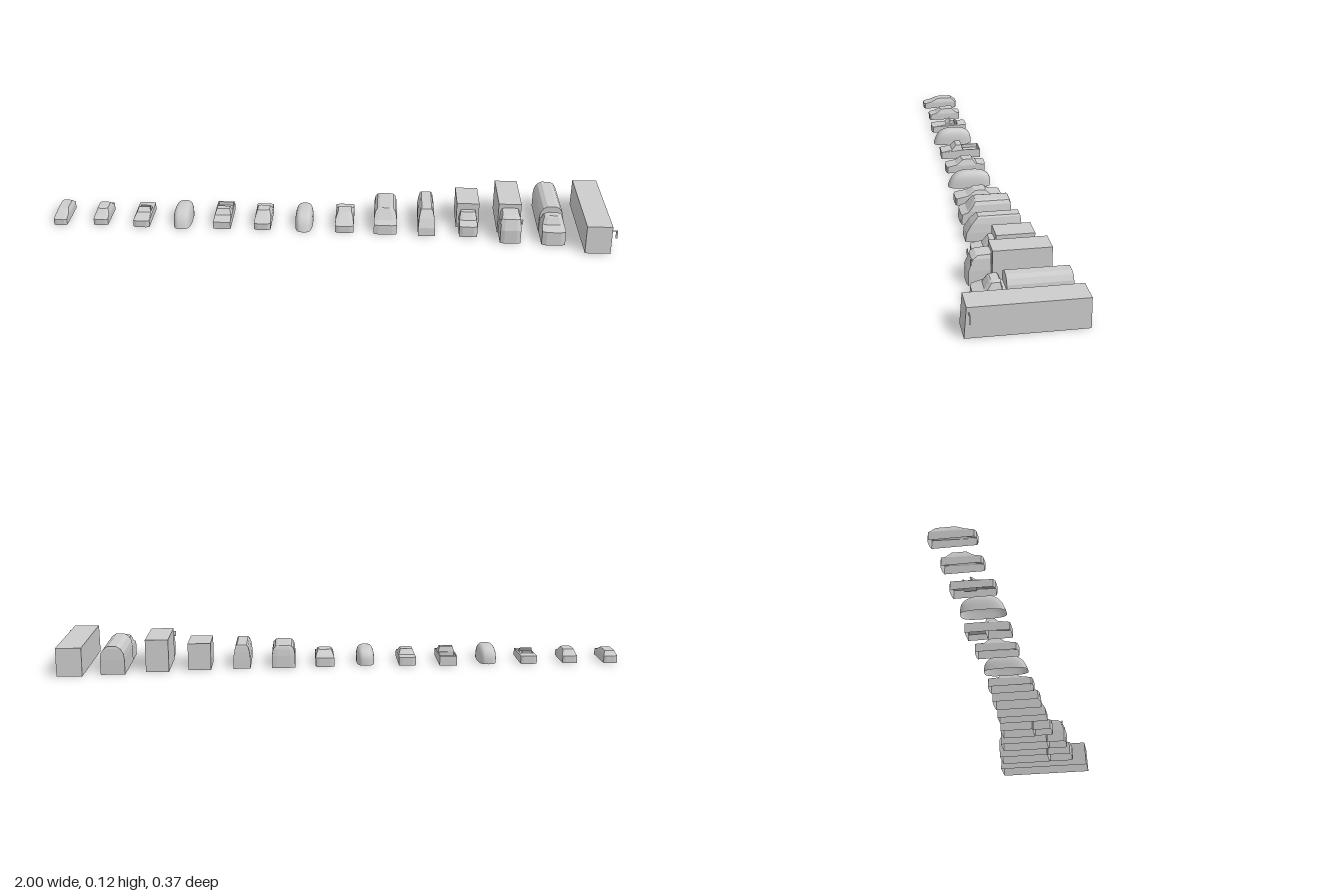
import * as THREE from 'three';

const material = new THREE.MeshStandardMaterial({ color: 0xcccccc, flatShading: true, side: THREE.DoubleSide });
const smooth = new THREE.MeshStandardMaterial({ color: 0xcccccc, side: THREE.DoubleSide });

// Open-bottomed shell lofted upward through rings [backZ, backY, frontZ, frontY, halfWidth]; the last ring is capped.
function shell(name, rings, bow = 0) {
  const positions = [], index = [];
  for (const [zb, yb, zf, yf, w] of rings) {
    const outline = [[w, zb + bow * 0.6], [w * 0.6, zb], [-w * 0.6, zb], [-w, zb + bow * 0.6],
      [-w, zf - bow], [-w * 0.6, zf], [w * 0.6, zf], [w, zf - bow]];
    for (const [x, z] of outline) positions.push(x, yb + (yf - yb) * (z - zb) / (zf - zb), z);
  }
  for (let r = 0; r < rings.length - 1; r++) {
    for (let i = 0; i < 8; i++) {
      const a = r * 8 + i, b = r * 8 + (i + 1) % 8;
      index.push(a, b, b + 8, a, b + 8, a + 8);
    }
  }
  const top = (rings.length - 1) * 8;
  for (let i = 1; i < 7; i++) index.push(top, top + i, top + i + 1);
  const geometry = new THREE.BufferGeometry();
  geometry.setAttribute('position', new THREE.Float32BufferAttribute(positions, 3));
  geometry.setIndex(index);
  const flat = geometry.toNonIndexed();
  flat.computeVertexNormals();
  const mesh = new THREE.Mesh(flat, material);
  mesh.name = name;
  return mesh;
}

function box(name, w, h, d, x, y, z) {
  const mesh = new THREE.Mesh(new THREE.BoxGeometry(w, h, d), material);
  mesh.name = name;
  mesh.position.set(x, y, z);
  return mesh;
}

// Hollow car: lower body, hood and deck stepping in to a tapered cabin
function car(w, zb, zf, belt, cabinBack, cabinFront, roofBack, roofFront, h) {
  return shell('carBody', [
    [zb, 0, zf, 0, w],
    [zb, belt, zf, belt * 0.82, w],
    [cabinBack, belt + 0.002, cabinFront, belt + 0.002, w * 0.95],
    [roofBack, h, roofFront, h, w * 0.72],
  ], 0.005);
}

// Smooth rounded van: half sphere squared off and raked back at the nose
function roundVan(w, zb, zf, h) {
  const geometry = new THREE.SphereGeometry(1, 32, 12, 0, Math.PI * 2, 0, Math.PI / 2);
  const p = geometry.attributes.position;
  const square = (v, e) => Math.sign(v) * Math.abs(v) ** e;
  for (let i = 0; i < p.count; i++) {
    const y = square(Math.max(p.getY(i), 0), 0.6);
    const z = square(p.getZ(i), 0.7);
    const rake = z > 0 ? 0.25 * z * y : 0;
    p.setXYZ(i, square(p.getX(i), 0.6) * w, y * h, (zb + zf) / 2 + (z - rake) * (zf - zb) / 2);
  }
  geometry.computeVertexNormals();
  const mesh = new THREE.Mesh(geometry, smooth);
  mesh.name = 'roundedVanBody';
  return mesh;
}

export function createModel() {
  const model = new THREE.Group();
  model.name = 'vehicleRow';
  const place = (name, x, ...parts) => {
    const group = new THREE.Group();
    group.name = name;
    group.position.x = x;
    group.add(...parts);
    model.add(group);
  };

  place('hatchback', -0.976, car(0.024, -0.07, 0.07, 0.027, -0.066, 0.042, -0.05, 0.015, 0.042));
  place('compactCar', -0.83, car(0.026, -0.065, 0.063, 0.027, -0.052, 0.037, -0.035, 0.018, 0.045));

  // Open car with a sunken cockpit
  place('convertible', -0.68,
    shell('openBody', [
      [-0.07, 0, 0.072, 0, 0.029],
      [-0.07, 0.029, 0.072, 0.025, 0.029],
      [-0.035, 0.031, 0.012, 0.031, 0.024],
      [-0.033, 0.018, 0.01, 0.018, 0.022],
    ], 0.005),
    shell('windscreen', [[0.004, 0.03, 0.014, 0.03, 0.025], [-0.008, 0.045, -0.003, 0.045, 0.02]]),
    box('seats', 0.036, 0.02, 0.006, 0, 0.028, -0.028));

  place('roundedVan', -0.535, roundVan(0.033, -0.07, 0.08, 0.06));

  // Cab in front, open load bed behind
  place('pickup', -0.388,
    shell('cab', [
      [-0.012, 0, 0.071, 0, 0.031],
      [-0.012, 0.033, 0.071, 0.027, 0.031],
      [-0.012, 0.035, 0.03, 0.035, 0.029],
      [-0.008, 0.053, 0.014, 0.053, 0.023],
    ]),
    shell('loadBed', [
      [-0.08, 0, -0.012, 0, 0.031],
      [-0.08, 0.034, -0.012, 0.034, 0.031],
      [-0.076, 0.034, -0.015, 0.034, 0.027],
      [-0.076, 0.02, -0.015, 0.02, 0.027],
    ]));

  place('sedan', -0.242, car(0.03, -0.077, 0.072, 0.03, -0.045, 0.035, -0.028, 0.012, 0.05));
  place('minivan', -0.094, roundVan(0.032, -0.075, 0.083, 0.058));
  place('largeSedan', 0.053, car(0.033, -0.085, 0.08, 0.032, -0.052, 0.038, -0.03, 0.012, 0.051));

  // Delivery van with an arched roof and a short hood
  place('deliveryVan', 0.2, shell('vanBody', [
    [-0.093, 0, 0.085, 0, 0.041],
    [-0.093, 0.04, 0.083, 0.035, 0.041],
    [-0.093, 0.044, 0.06, 0.044, 0.041],
    [-0.091, 0.066, 0.044, 0.066, 0.037],
    [-0.088, 0.077, 0.036, 0.077, 0.029],
    [-0.086, 0.08, 0.032, 0.08, 0.02],
  ], 0.004));

  // Tall narrow van with a long sloping nose
  place('tallVan', 0.347, shell('vanBody', [
    [-0.1, 0, 0.089, 0, 0.03],
    [-0.1, 0.035, 0.086, 0.03, 0.03],
    [-0.099, 0.06, 0.068, 0.06, 0.027],
    [-0.097, 0.08, 0.05, 0.08, 0.022],
    [-0.095, 0.085, 0.045, 0.085, 0.017],
  ]));

  // Small box truck
  place('smallBoxTruck', 0.495,
    shell('cargoBox', [[-0.112, 0, 0.015, 0, 0.04], [-0.112, 0.095, 0.015, 0.095, 0.04]]),
    shell('cab', [
      [0.015, 0, 0.09, 0, 0.032],
      [0.015, 0.045, 0.09, 0.04, 0.032],
      [0.015, 0.047, 0.052, 0.047, 0.031],
      [0.015, 0.071, 0.033, 0.071, 0.026],
    ], 0.004));

  // Large box truck with a flat-fronted cab and side mirrors
  place('largeBoxTruck', 0.64,
    shell('cargoBox', [[-0.136, 0, 0.052, 0, 0.04], [-0.136, 0.115, 0.052, 0.115, 0.04]]),
    shell('cab', [
      [0.052, 0, 0.13, 0, 0.036],
      [0.052, 0.05, 0.13, 0.05, 0.036],
      [0.052, 0.088, 0.116, 0.088, 0.033],
      [0.052, 0.1, 0.1, 0.098, 0.028],
    ], 0.005),
    ...[-1, 1].map(s => box('sideMirror', 0.006, 0.018, 0.004, s * 0.037, 0.08, 0.118)));

  // Tanker with a hooded cab
  place('tanker', 0.79,
    shell('tank', [
      [-0.165, 0, 0.035, 0, 0.042],
      [-0.168, 0.055, 0.035, 0.055, 0.042],
      [-0.168, 0.076, 0.035, 0.076, 0.039],
      [-0.168, 0.092, 0.035, 0.092, 0.029],
      [-0.166, 0.1, 0.035, 0.1, 0.015],
    ], 0),
    shell('cab', [
      [0.035, 0, 0.137, 0, 0.041],
      [0.035, 0.058, 0.135, 0.05, 0.041],
      [0.045, 0.062, 0.1, 0.062, 0.038],
      [0.05, 0.084, 0.085, 0.084, 0.031],
      [0.054, 0.088, 0.08, 0.088, 0.024],
    ], 0.006));

  // Coach: plain tall box with a slightly raked front and one mirror
  place('coach', 0.936,
    shell('coachBody', [[-0.185, 0, 0.186, 0, 0.044], [-0.184, 0.1, 0.179, 0.1, 0.044]]),
    box('mirrorArm', 0.016, 0.003, 0.003, 0.052, 0.082, 0.172),
    box('sideMirror', 0.006, 0.028, 0.004, 0.06, 0.069, 0.172));

  return model;
}
